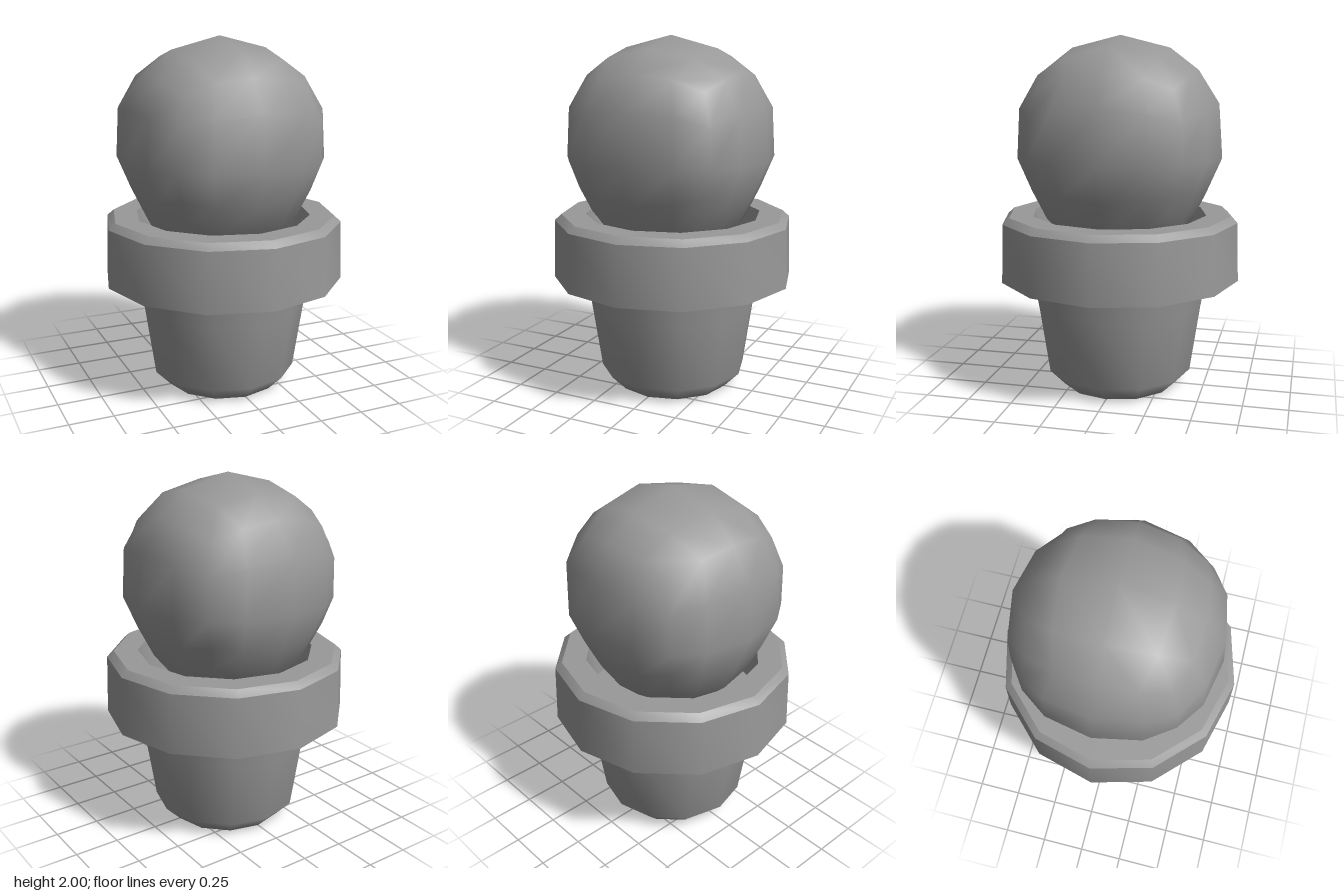
import * as THREE from 'three';
import { mergeVertices, toCreasedNormals } from 'three/addons/utils/BufferGeometryUtils.js';

const SIDES = 12;
const material = new THREE.MeshStandardMaterial({ color: 0x999999 });

function addPart(group, name, geometry) {
  const mesh = new THREE.Mesh(geometry, material);
  mesh.name = name;
  group.add(mesh);
  return mesh;
}

function lathe(profile) {
  return new THREE.LatheGeometry(profile.map(([r, y]) => new THREE.Vector2(r, y)), SIDES);
}

// Join all corners so that normals blend over every edge
function weld(geometry) {
  geometry.deleteAttribute('normal');
  geometry.deleteAttribute('uv');
  const welded = mergeVertices(geometry);
  welded.computeVertexNormals();
  return welded;
}

// Column k of a table sorted by its first column, interpolated at t
function lookup(table, t, k) {
  let i = 1;
  while (i < table.length - 1 && t > table[i][0]) i++;
  const a = table[i - 1], b = table[i];
  return THREE.MathUtils.mapLinear(t, a[0], b[0], a[k], b[k]);
}

// Cube-based sphere, fuller at the top and tapering into the pot
function ballGeometry() {
  // [height on unit sphere, shaped height, width factor]
  const shape = [
    [-1, -0.55, 1.08], [-0.894, -0.5, 1.06], [-0.707, -0.38, 0.985], [-0.447, -0.2, 0.95],
    [0, 0, 1], [0.447, 0.3, 1.075], [0.707, 0.48, 1.076], [0.894, 0.6, 1.083], [1, 0.67, 1.08],
  ];
  const geometry = weld(new THREE.BoxGeometry(2, 2, 2, 4, 4, 4));
  const p = geometry.attributes.position;
  const v = new THREE.Vector3();
  for (let i = 0; i < p.count; i++) {
    v.fromBufferAttribute(p, i).normalize();
    // slightly fuller on the diagonals
    const w = 0.577 * lookup(shape, v.y, 2) * (1 + 0.04 * Math.abs(v.x * v.z));
    p.setXYZ(i, v.x * w, lookup(shape, v.y, 1), v.z * w);
  }
  geometry.computeVertexNormals();
  return geometry;
}

export function createModel() {
  const group = new THREE.Group();
  group.name = 'pottedBall';

  // Tapered pot with a softly shaded chamfered base
  addPart(group, 'potBody', weld(lathe([
    [0, 0], [0.33, 0], [0.418, 0.09], [0.476, 0.48], [0.506, 0.64], [0.51, 0.68],
  ])));

  // Overhanging collar with bevelled lip, inner wall and fill surface
  addPart(group, 'potRim', toCreasedNormals(lathe([
    [0.46, 0.638], [0.685, 0.638], [0.675, 0.97], [0.636, 1.005],
    [0.5, 1.005], [0.47, 0.75], [0, 0.75],
  ]), 0.6));

  // Rounded ball sitting in the pot
  addPart(group, 'ball', ballGeometry()).position.set(-0.015, 1.33, -0.003);

  return group;
}
